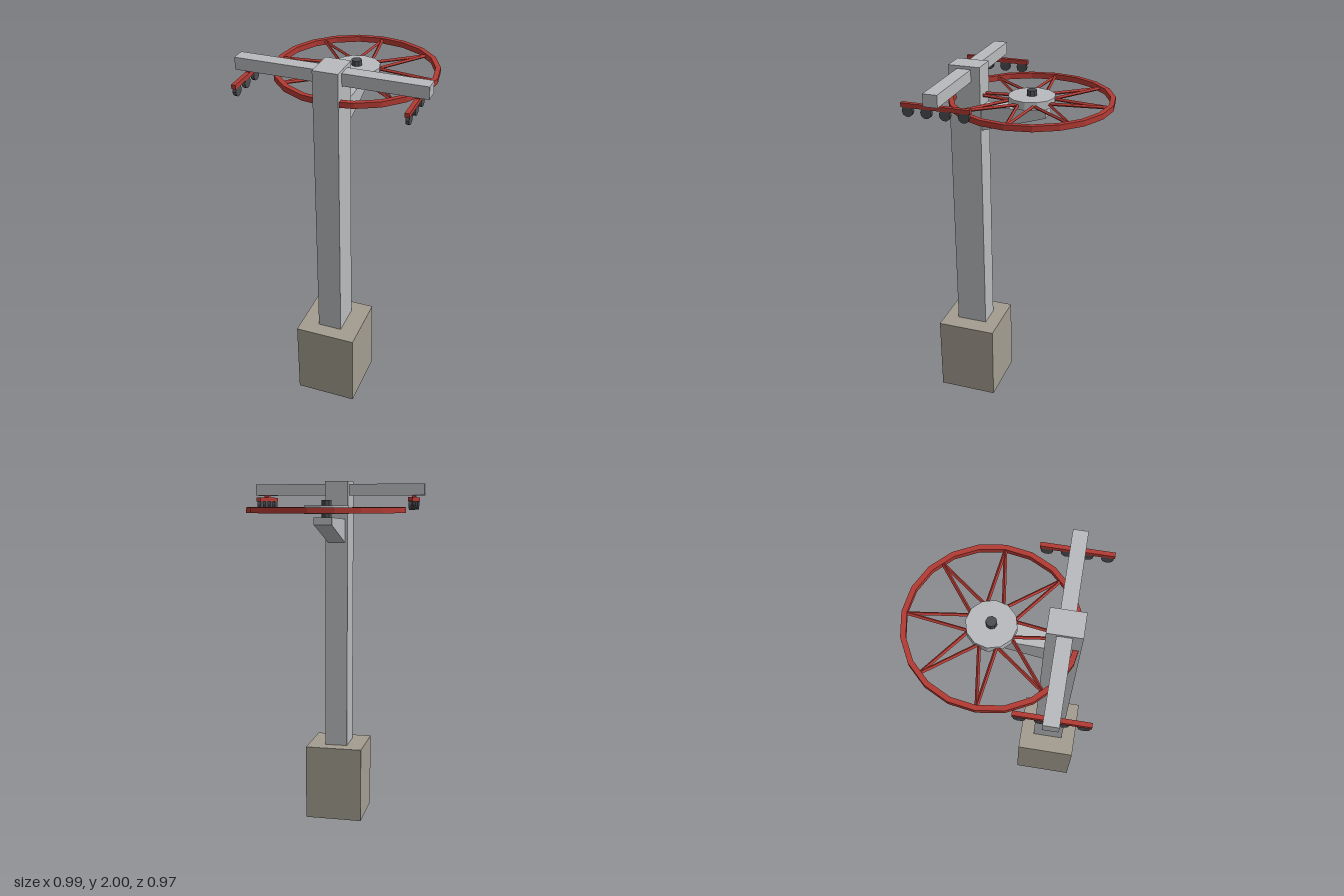
import * as THREE from 'three';

export function createModel() {
  const model = new THREE.Group();
  model.name = 'cableTower';

  const mat = (name, color) => {
    const m = new THREE.MeshStandardMaterial({ color, flatShading: true });
    m.name = name;
    return m;
  };
  const steel = mat('grey steel', 0xb8babd);
  const concrete = mat('concrete', 0xa39d90);
  const red = mat('red paint', 0xb23a33);
  const dark = mat('dark metal', 0x4c4d50);

  const add = (parent, name, geometry, material, x = 0, y = 0, z = 0) => {
    const mesh = new THREE.Mesh(geometry, material);
    mesh.name = name;
    mesh.position.set(x, y, z);
    parent.add(mesh);
    return mesh;
  };
  const box = (w, h, d) => new THREE.BoxGeometry(w, h, d);

  // Foundation, mast and crossarm
  const mastZ = 0.3;
  add(model, 'foundation', box(0.334, 0.44, 0.334), concrete, 0, 0.22, mastZ);
  add(model, 'mast', box(0.132, 1.56, 0.174), steel, 0, 1.22, mastZ);
  add(model, 'crossarm', box(0.994, 0.065, 0.076), steel, 0, 1.952, mastZ);

  // Tapered bracket carrying the wheel, drawn in side profile (z, y)
  const profile = new THREE.Shape([
    [-0.14, 1.76], [0.23, 1.647], [0.23, 1.785], [-0.14, 1.8],
  ].map(([z, y]) => new THREE.Vector2(-z, y)));
  const bracket = new THREE.ExtrudeGeometry(profile, { depth: 0.1, bevelEnabled: false });
  bracket.translate(0, 0, -0.05).rotateY(Math.PI / 2);
  add(model, 'wheelBracket', bracket, steel);

  // Horizontal bull wheel
  const wheel = new THREE.Group();
  wheel.name = 'bullWheel';
  wheel.position.set(0, 1.838, -0.05);
  model.add(wheel);

  const rimSection = [
    [0.408, -0.015], [0.435, -0.015], [0.435, 0.015], [0.408, 0.015], [0.408, -0.015],
  ].map(([r, y]) => new THREE.Vector2(r, y));
  add(wheel, 'rim', new THREE.LatheGeometry(rimSection, 20), red);
  add(wheel, 'hub', new THREE.CylinderGeometry(0.125, 0.125, 0.044, 12), steel, 0, 0.002, 0);
  add(wheel, 'axle', new THREE.CylinderGeometry(0.028, 0.028, 0.1, 8), dark, 0, 0.003, 0);

  // Paired spokes meeting at eight points on the rim
  for (let i = 0; i < 8; i++) {
    const a = (i * Math.PI) / 4;
    for (const side of [-1, 1]) {
      const b = a + side * 0.38;
      const inner = new THREE.Vector3(Math.sin(b) * 0.112, 0, Math.cos(b) * 0.112);
      const outer = new THREE.Vector3(Math.sin(a) * 0.412, 0, Math.cos(a) * 0.412);
      const geometry = new THREE.CylinderGeometry(0.009, 0.009, inner.distanceTo(outer), 4);
      geometry.rotateX(Math.PI / 2);
      const spoke = add(wheel, 'spoke', geometry, red);
      spoke.position.copy(inner).lerp(outer, 0.5);
      spoke.lookAt(outer.clone().add(spoke.position).sub(inner).add(wheel.position));
    }
  }

  // Sheave trains hung under both ends of the crossarm
  for (const side of [-1, 1]) {
    const train = new THREE.Group();
    train.name = side > 0 ? 'leftSheaveTrain' : 'rightSheaveTrain';
    train.position.set(side * 0.436, 0, mastZ);
    model.add(train);
    add(train, 'hanger', box(0.022, 0.03, 0.05), red, 0, 1.908, 0);
    add(train, 'beam', box(0.023, 0.023, 0.366), red, 0, 1.897, 0);
    for (let i = 0; i < 4; i++) {
      const sheave = new THREE.CylinderGeometry(0.03, 0.03, 0.018, 10);
      sheave.rotateZ(Math.PI / 2);
      add(train, 'sheave', sheave, dark, 0, 1.867, (i - 1.5) * 0.099);
    }
  }
  return model;
}
